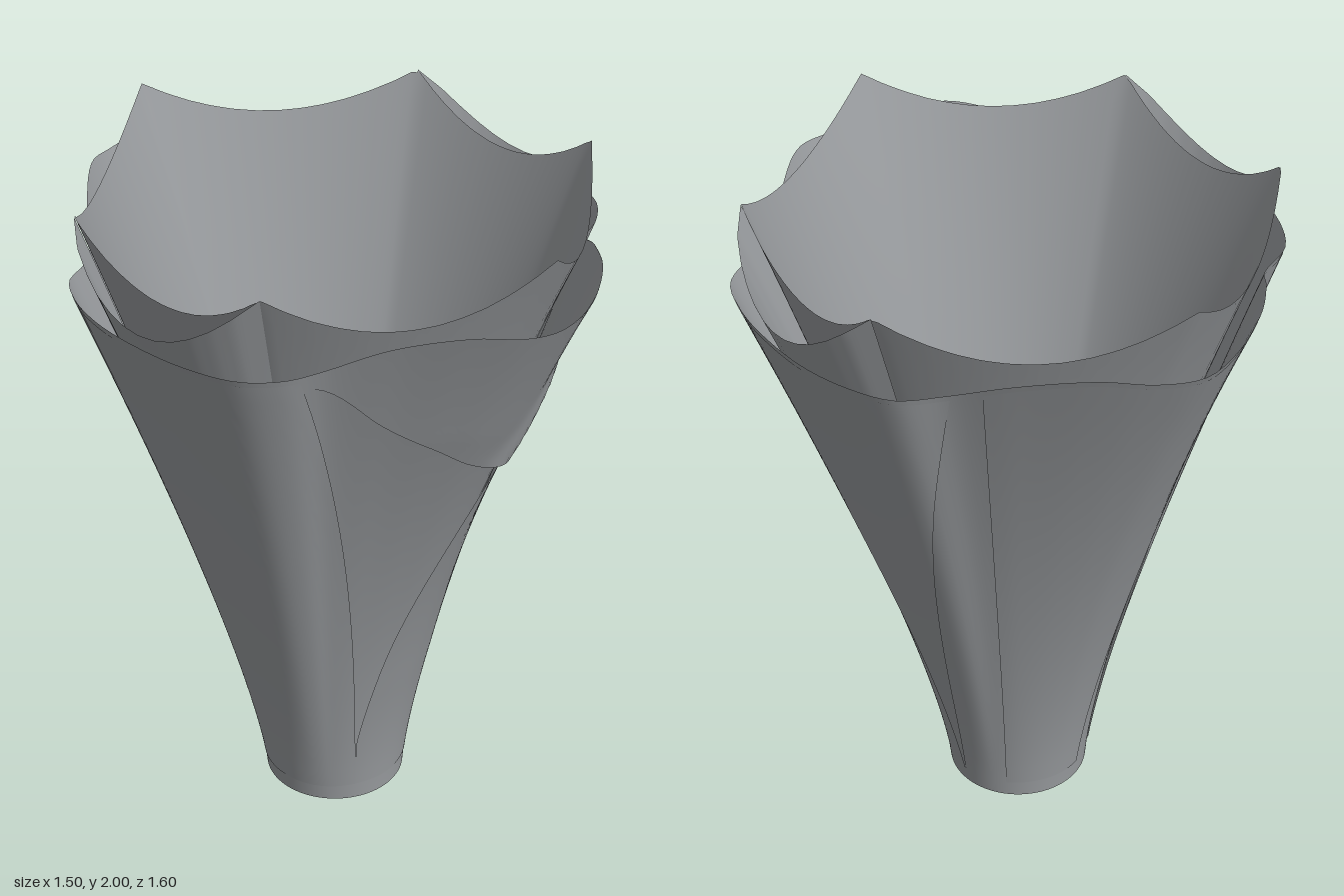
import * as THREE from 'three';
import { mergeVertices } from 'three/addons/utils/BufferGeometryUtils.js';

const rad = THREE.MathUtils.degToRad;
const lerp = THREE.MathUtils.lerp;
const wrap = (a) => Math.atan2(Math.sin(a), Math.cos(a));
const angleOf = (p) => Math.atan2(p.x, p.z); // 0 = front, 90 degrees = +x

// Point of a closed rim at a given angle around the axis
function rimAt(rim, a) {
  for (let i = 0; i < rim.length; i++) {
    const p = rim[i], q = rim[(i + 1) % rim.length];
    const start = angleOf(p), span = wrap(angleOf(q) - start), d = wrap(a - start);
    if (span > 1e-6 && d >= -1e-6 && d <= span + 1e-6) return p.clone().lerp(q, d / span);
  }
  return rim[0].clone();
}

// Paper surface that flares from a round foot to a rim. Its edges depend on
// t (height fraction) and k (fraction across the sheet)
function sheetGeometry({ rim, foot = 0.208, left, right, bottom = () => 0, top = () => 1,
  offset = () => 0, columns = 48, rows = 28 }) {
  const pos = [], index = [];
  for (let i = 0; i <= columns; i++) {
    const k = i / columns;
    for (let j = 0; j <= rows; j++) {
      const t = lerp(bottom(k), top(k), j / rows);
      const a = lerp(left(t), right(t), k), c = Math.cos(a);
      const edge = rimAt(rim, a);
      const s = Math.pow(t, 1.28 + (c > 0 ? 0.32 : 0.22) * c ** 4);
      const r = lerp(foot, Math.hypot(edge.x, edge.z), s) + offset(t, k);
      pos.push(r * Math.sin(a), edge.y * t, r * c);
      if (i < columns && j < rows) {
        const n = i * (rows + 1) + j, m = n + rows + 1;
        index.push(n, m, n + 1, m, m + 1, n + 1);
      }
    }
  }
  let g = new THREE.BufferGeometry();
  g.setAttribute('position', new THREE.Float32BufferAttribute(pos, 3));
  g.setIndex(index);
  g = mergeVertices(g, 1e-5);
  g.computeVertexNormals();
  return g;
}

// Wavy rim of the outer wrap: the left half from front to back, mirrored
function outerRim() {
  const half = [[0, 1.82, 0.8], [0.12, 1.835, 0.785], [0.25, 1.86, 0.715], [0.39, 1.83, 0.575],
    [0.51, 1.765, 0.447], [0.6, 1.765, 0.415], [0.69, 1.77, 0.34], [0.735, 1.77, 0.2],
    [0.748, 1.77, 0.03], [0.737, 1.77, -0.12], [0.7, 1.77, -0.25], [0.63, 1.765, -0.36],
    [0.51, 1.765, -0.42], [0.4, 1.82, -0.55], [0.25, 1.86, -0.7], [0.13, 1.84, -0.765], [0, 1.83, -0.8]]
    .map((p) => new THREE.Vector3(...p));
  const other = half.slice(1, -1).reverse().map((p) => new THREE.Vector3(-p.x, p.y, p.z));
  return new THREE.CatmullRomCurve3([...half, ...other], true).getPoints(180).slice(0, -1);
}

// Six-cornered rim of the inner liner: tall corners, sagging and bowed edges
function innerRim(sideSag, sideBow) {
  const corners = [[0, 2, 0.765], [0.63, 1.98, 0.36], [0.65, 1.98, -0.3],
    [0, 2, -0.76], [-0.65, 1.98, -0.3], [-0.63, 1.98, 0.36]].map((c) => new THREE.Vector3(...c));
  const rim = [];
  corners.forEach((c, i) => {
    const d = corners[(i + 1) % 6], side = i % 3 === 1;
    for (let j = 0; j < 12; j++) {
      const f = j / 12, arch = 4 * f * (1 - f), p = c.clone().lerp(d, f);
      const outward = new THREE.Vector3(c.x + d.x, 0, c.z + d.z).normalize();
      p.addScaledVector(outward, side ? sideBow * arch ** 0.7 : 0.035 * arch);
      p.y -= arch * (side ? sideSag : 0.12);
      rim.push(p);
    }
  });
  return rim;
}

export function createModel() {
  const group = new THREE.Group();
  const paper = new THREE.MeshStandardMaterial({ color: 0x989b9e, side: THREE.DoubleSide });
  paper.name = 'greyPaper';
  const add = (name, geometry) => {
    const mesh = new THREE.Mesh(geometry, paper);
    mesh.name = name;
    group.add(mesh);
    return mesh;
  };
  const at = (deg) => () => rad(deg);
  const slant = (from, to) => (t) => rad(lerp(from, to, t));
  const rim = outerRim();

  // Continuous layers
  add('outerWrap', sheetGeometry({ rim, left: at(0), right: at(360), columns: 144 }));
  add('innerLiner', sheetGeometry({ rim: innerRim(0.135, 0.005), foot: 0.178,
    left: at(0), right: at(360), bottom: () => 0.02, columns: 180 }));

  // Side petals between liner and wrap, bowing outwards
  const petalRim = innerRim(0.18, 0.1);
  for (const [name, sign] of [['leftPetal', 1], ['rightPetal', -1]]) {
    add(name, sheetGeometry({ rim: petalRim, foot: 0.18, left: at(sign * 60.3), right: at(sign * 114.7),
      bottom: () => 0.75, rows: 14 }));
  }

  // Overlapping panels, raised slightly and fading out at foot and rim
  const lift = (t) => 0.001 + 0.008 * Math.sin(Math.PI * t) ** 0.7;
  const panels = [
    ['leftWedge', slant(97, 60), slant(97, 130)],
    ['rightPanel', at(230), slant(332, 307)],
    ['backPanel', slant(135, 137), slant(200, 229)],
  ];
  for (const [name, left, right] of panels) {
    add(name, sheetGeometry({ rim, left, right, bottom: () => 0.03, top: () => 0.99, offset: lift }));
  }

  // Front flap: upper sheet with a sloping cut edge and a slanting pucker
  const cut = new THREE.SplineCurve([[0, 0.97], [0.07, 0.85], [0.22, 0.775], [0.42, 0.73], [0.65, 0.705],
    [0.85, 0.69], [1, 0.7]].map(([x, y]) => new THREE.Vector2(x, y)));
  const pucker = (t, k) => 0.022 * Math.min(1, 5 * (1 - t)) * Math.exp(-(((k - 0.62 - 1.4 * (t - 0.72)) / 0.08) ** 2));
  add('frontFlap', sheetGeometry({ rim, left: at(-50), right: slant(24, 48), rows: 20,
    bottom: (k) => cut.getPoint(k).y,
    offset: (t, k) => 0.001 + 0.014 * Math.min(1, 5 * (1 - t)) * (1 - k ** 6) + pucker(t, k) }));

  // Front fold: lower sheet whose slanted edge forms one side of the front V
  add('frontFold', sheetGeometry({ rim, left: (t) => rad(lerp(-30, 11, Math.max(0, t - 0.13) / 0.58)),
    right: slant(53, 32), bottom: () => 0.03, top: () => 0.71,
    offset: (t) => 0.001 + 0.008 * Math.min(1, t * 4) }));

  // Closed foot
  const foot = add('foot', new THREE.CircleGeometry(0.205, 48));
  foot.rotation.x = Math.PI / 2;
  foot.position.y = 0.005;
  return group;
}
